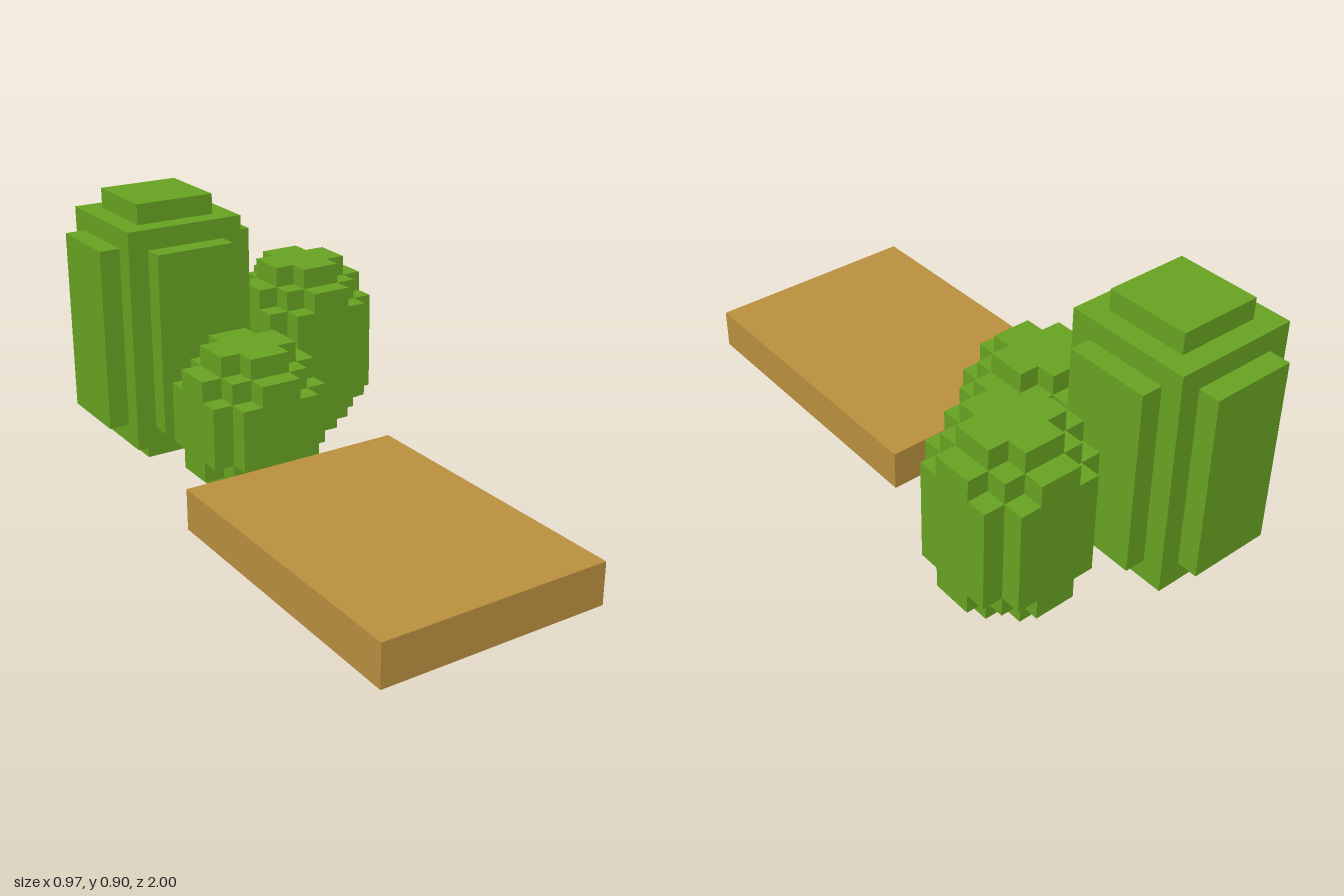
import * as THREE from 'three';

const U = 2 / 29; // size of one block

const leafGreen = new THREE.MeshStandardMaterial({ color: 0x69a522 });
const plankBrown = new THREE.MeshStandardMaterial({ color: 0xbd9240 });

// Stepped outline, mirrored into four quadrants from its outer corners
function steppedShape(corners) {
  const q = [];
  corners.forEach(([x, z], i) => {
    q.push([x, z]);
    if (i + 1 < corners.length) q.push([corners[i + 1][0], z]);
  });
  const back = [...q].reverse();
  const points = [
    ...q,
    ...back.map(([x, z]) => [-x, z]),
    ...q.map(([x, z]) => [-x, -z]),
    ...back.map(([x, z]) => [x, -z]),
  ];
  return new THREE.Shape(points.map(([x, z]) => new THREE.Vector2(x * U, z * U)));
}

// Bush made of stacked layers: cap, shoulder, body, shoulder, cap
function makeBush(name, x, z, height, [cap, shoulder, body]) {
  const bush = new THREE.Group();
  bush.name = name;
  const layers = [
    ['bottomCap', cap, 0, 1],
    ['bottomShoulder', shoulder, 1, 2],
    ['body', body, 2, height - 2],
    ['topShoulder', shoulder, height - 2, height - 1],
    ['topCap', cap, height - 1, height],
  ];
  for (const [part, corners, y0, y1] of layers) {
    const geometry = new THREE.ExtrudeGeometry(steppedShape(corners), {
      depth: (y1 - y0) * U,
      bevelEnabled: false,
    });
    geometry.rotateX(-Math.PI / 2);
    const mesh = new THREE.Mesh(geometry, leafGreen);
    mesh.name = part;
    mesh.position.y = y0 * U;
    bush.add(mesh);
  }
  bush.position.set(x * U, 0, z * U);
  return bush;
}

export function createModel() {
  const model = new THREE.Group();
  model.name = 'bushesAndPlank';

  // Flat slab in front
  const plank = new THREE.Mesh(new THREE.BoxGeometry(11 * U, 2 * U, 15 * U), plankBrown);
  plank.name = 'plank';
  plank.position.set(-1.5 * U, U, 7 * U);
  model.add(plank);

  // Layer outlines, in blocks from the bush centre
  const largeLayers = [[[2, 2]], [[3, 3]], [[4, 2], [3, 3], [2, 4]]];
  const smallLayers = [
    [[2, 1], [1, 2]],
    [[3, 1], [2, 2], [1, 3]],
    [[3, 2], [2, 3]],
  ];

  model.add(makeBush('largeBush', -3, -10.5, 13, largeLayers));
  model.add(makeBush('mediumBush', 4, -8.5, 9, smallLayers));
  model.add(makeBush('smallBush', -2, -3.5, 7, smallLayers));
  return model;
}
